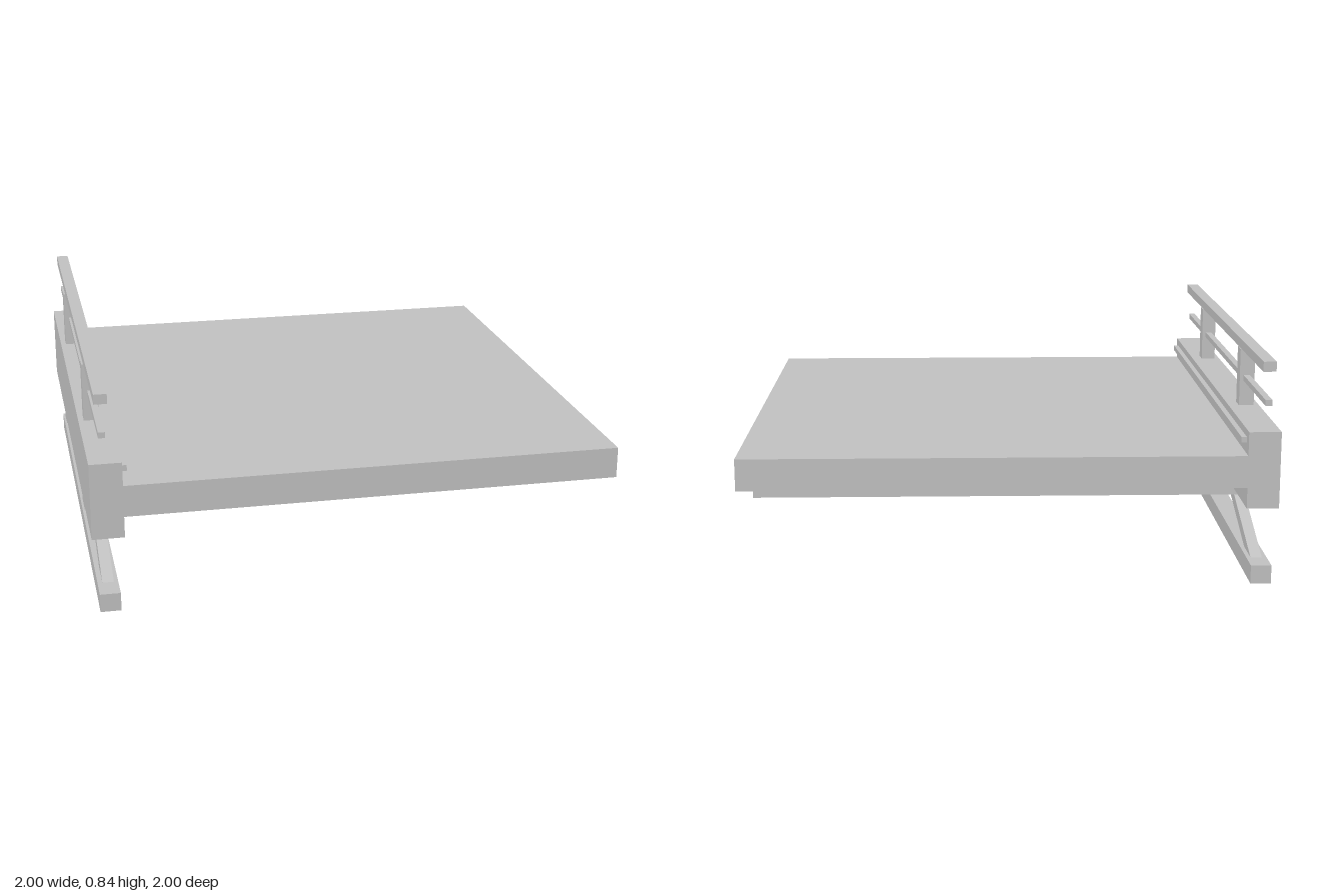
import * as THREE from 'three';

export function createModel() {
  const model = new THREE.Group();
  const grey = new THREE.MeshStandardMaterial({ color: 0xc0c0c0 });
  grey.name = 'light grey';

  function add(name, geometry) {
    const mesh = new THREE.Mesh(geometry, grey);
    mesh.name = name;
    model.add(mesh);
    return mesh;
  }

  // Box given by its limits on each axis
  function box(name, x0, x1, y0, y1, z0, z1) {
    const mesh = add(name, new THREE.BoxGeometry(x1 - x0, y1 - y0, z1 - z0));
    mesh.position.set((x0 + x1) / 2, (y0 + y1) / 2, (z0 + z1) / 2);
  }

  function extrude(points, depth) {
    const shape = new THREE.Shape(points.map(([x, y]) => new THREE.Vector2(x, y)));
    return new THREE.ExtrudeGeometry(shape, { depth, bevelEnabled: false });
  }

  // Deck slab and edge curb share one cross-section
  add('deckWithCurb', extrude([
    [-1, 0.29], [-0.88, 0.29], [-0.88, 0.37], [1, 0.37],
    [1, 0.49], [-0.88, 0.49], [-0.88, 0.58], [-1, 0.58],
  ], 2).translate(0, 0, -1));

  // Thin strip along the inner face of the curb
  box('curbStrip', -0.88, -0.86, 0.53, 0.552, -0.955, 0.955);

  // Railing
  box('topRail', -0.972, -0.924, 0.805, 0.842, -1, 1);
  box('middleRail', -0.961, -0.936, 0.678, 0.7, -1, 1);

  // Lower chord beam
  box('bottomBeam', -0.98, -0.903, 0, 0.07, -1, 1);

  for (const side of [1, -1]) {
    const z = 0.5 * side;
    box('railPost', -0.979, -0.921, 0.58, 0.805, z - 0.033, z + 0.033);
    box('floorJoist', -0.993, 0.993, 0.222, 0.37, z - 0.053, z + 0.053);

    // Slanted brace from the bottom beam up to the curb
    const points = [[0.90, 0.07], [0.757, 0.07], [0.12, 0.29], [0.26, 0.29]];
    const brace = add('diagonalBrace',
      extrude(points.map(([pz, y]) => [-pz * side, y]), 0.043));
    brace.rotation.y = Math.PI / 2;
    brace.position.x = -0.962;
  }

  return model;
}
